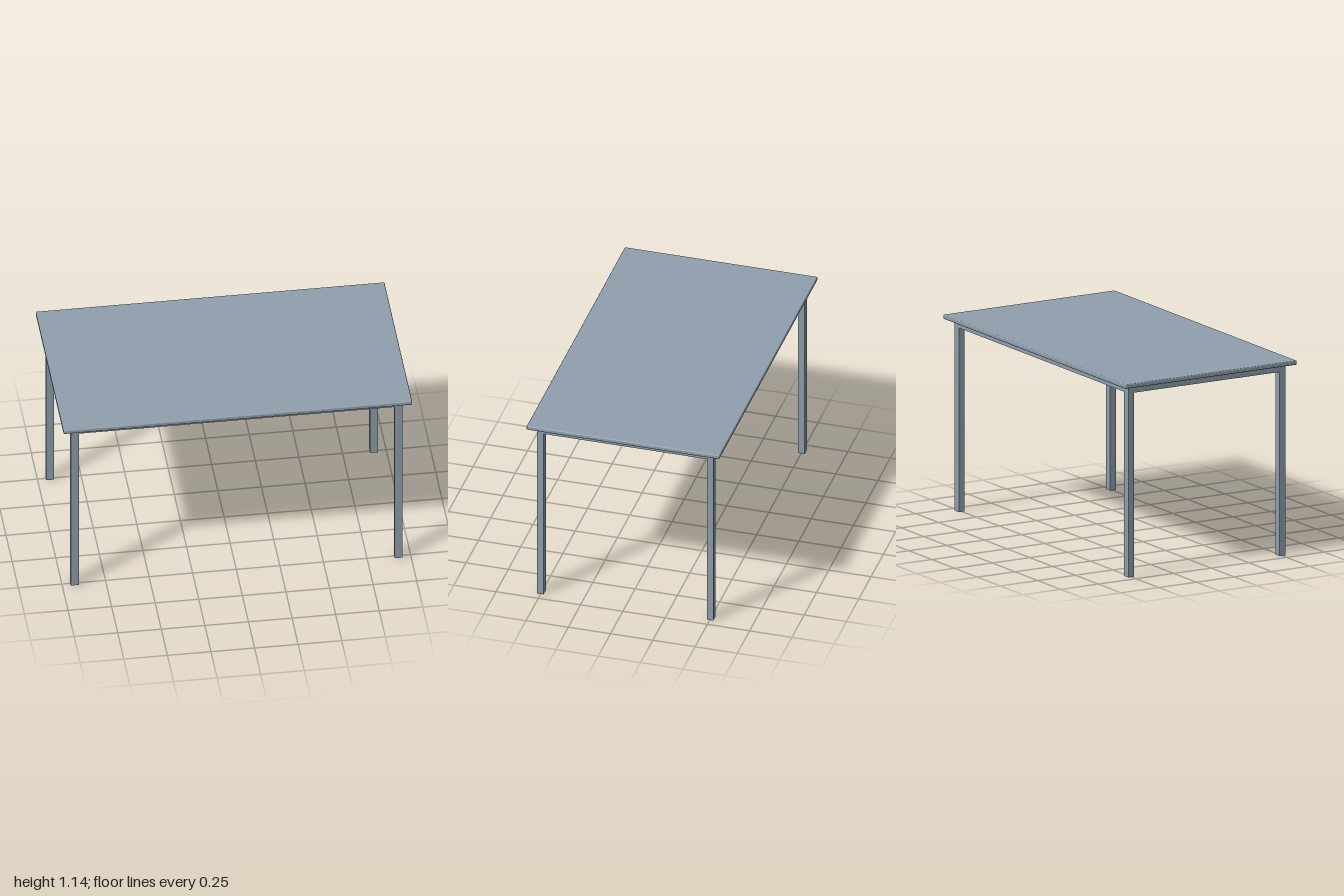
import * as THREE from 'three';
import { RoundedBoxGeometry } from 'three/addons/geometries/RoundedBoxGeometry.js';

export function createModel() {
  const table = new THREE.Group();
  table.name = 'table';
  const steel = new THREE.MeshStandardMaterial({ color: 0x90a0ad });
  steel.name = 'blueGrey';

  const add = (name, geometry, x, y, z) => {
    const mesh = new THREE.Mesh(geometry, steel);
    mesh.name = name;
    mesh.position.set(x, y, z);
    table.add(mesh);
  };

  const topY = 1.141, topThick = 0.025;
  const underY = topY - topThick;
  const railH = 0.041, railY = underY - railH / 2;
  const legW = 0.046, legD = 0.038;
  const legX = 0.952 - legW / 2, legZ = 0.521 - legD / 2;

  // Table top with softened edges
  add('tableTop', new RoundedBoxGeometry(2, topThick, 1.14, 2, 0.006), 0, topY - topThick / 2, 0);

  // Four square legs
  const leg = new THREE.BoxGeometry(legW, underY, legD);
  for (const sx of [1, -1]) {
    for (const sz of [1, -1]) {
      add(`${sz > 0 ? 'front' : 'back'}${sx > 0 ? 'Left' : 'Right'}Leg`, leg, sx * legX, underY / 2, sz * legZ);
    }
  }

  // Rails joining the legs under the top
  const longRail = new THREE.BoxGeometry(2 * legX - legW, railH, legD);
  const sideRail = new THREE.BoxGeometry(legW, railH, 2 * legZ - legD);
  for (const s of [1, -1]) {
    add(s > 0 ? 'frontRail' : 'backRail', longRail, 0, railY, s * legZ);
    add(s > 0 ? 'leftRail' : 'rightRail', sideRail, s * legX, railY, 0);
  }

  return table;
}
